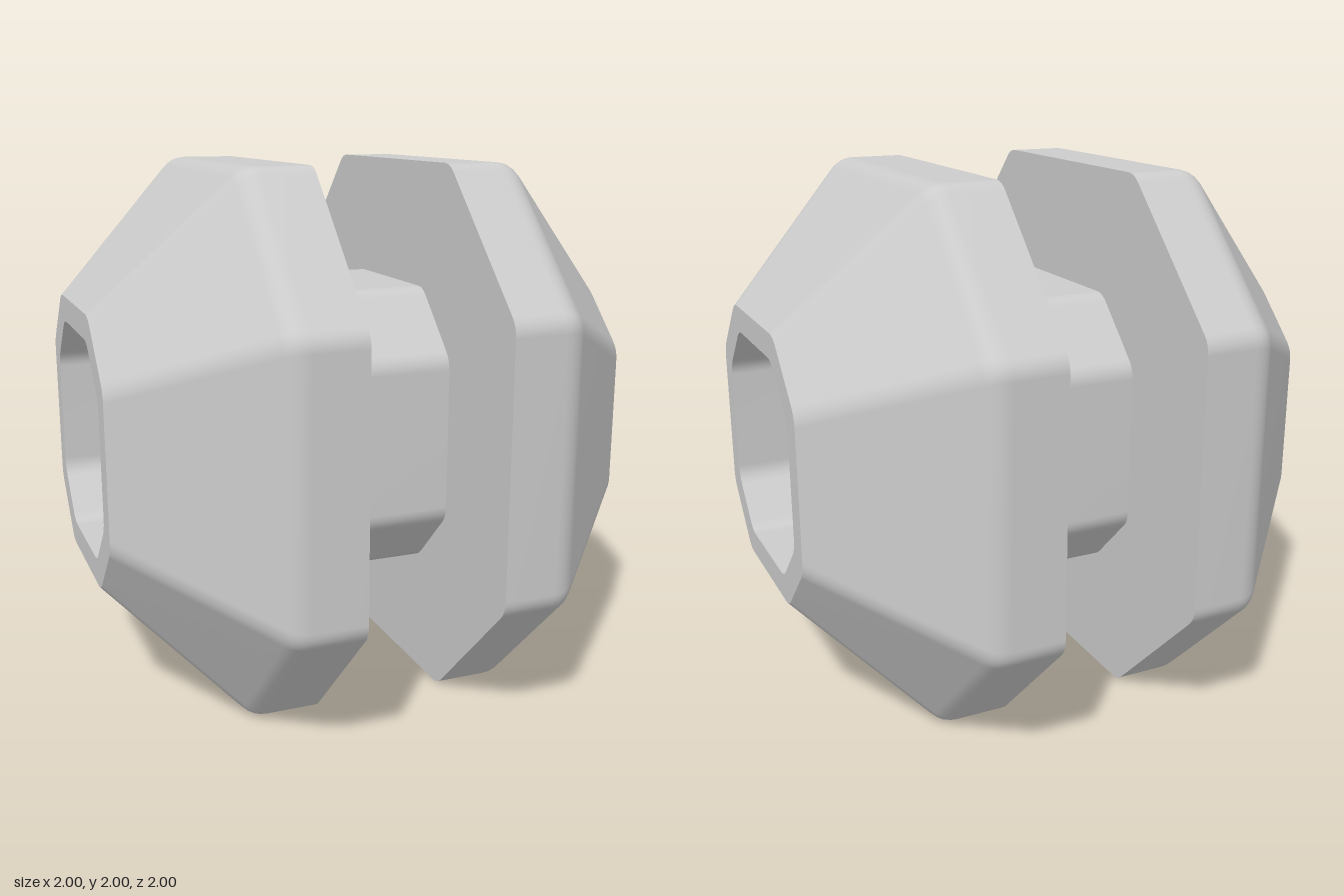
import * as THREE from 'three';

const ROUND = 0.04; // how far each corner rounding reaches along its edges
const STEPS = 4;

// Quadratic rounding of a corner b between a and c, for points of any dimension
function bend(a, b, c) {
  return Array.from({ length: STEPS + 1 }, (_, i) => {
    const t = i / STEPS;
    return b.map((v, k) => (1 - t) * (1 - t) * a[k] + 2 * t * (1 - t) * v + t * t * c[k]);
  });
}

// Rounded octagon across the x axis: half width h, flats reaching to +-c
function ring([x, h, c]) {
  const corners = [];
  for (let q = 0; q < 4; q++) {
    const cos = [1, 0, -1, 0][q], sin = [0, 1, 0, -1][q];
    for (const [y, z] of [[h, c], [c, h]]) corners.push([y * cos - z * sin, y * sin + z * cos]);
  }
  const toward = (p, q) => {
    const d = Math.hypot(q[0] - p[0], q[1] - p[1]);
    const f = d > 0 ? Math.min(ROUND / d, 0.45) : 0;
    return [p[0] + (q[0] - p[0]) * f, p[1] + (q[1] - p[1]) * f];
  };
  return corners.flatMap((p, i) =>
    bend(toward(p, corners[(i + 7) % 8]), p, toward(p, corners[(i + 1) % 8]))
      .map(([y, z]) => [x, y, z]));
}

// Smooth skin through a list of [x, h, c] sections
function loft(name, sections) {
  const rings = sections.map(ring);
  const n = rings[0].length;
  const index = [];
  for (let s = 0; s < rings.length - 1; s++) {
    for (let i = 0; i < n; i++) {
      const a = s * n + i, b = s * n + (i + 1) % n;
      index.push(a, b, a + n, b, b + n, a + n);
    }
  }
  const geometry = new THREE.BufferGeometry();
  geometry.setAttribute('position', new THREE.Float32BufferAttribute(rings.flat(2), 3));
  geometry.setIndex(index);
  geometry.computeVertexNormals();
  const mesh = new THREE.Mesh(geometry, new THREE.MeshStandardMaterial({ color: 0xcccccc }));
  mesh.name = name;
  return mesh;
}

// Flanged end: back face, tapered outer skin, rim, and a blind socket
function createFlange(name) {
  const back = [0.255, 1, 0.5];
  const tip = [1, 0.5, 0.28];
  const socketMouth = [1, 0.405, 0.23];
  const socketFloor = [0.5, 0.405, 0.23];
  const shoulder = bend([0.45, 1, 0.5], [0.5, 1, 0.5], [0.535, 0.965, 0.485]);
  const flange = new THREE.Group();
  flange.name = name;
  flange.add(
    loft('flangeBackFace', [[0.255, 0.5, 0.28], back]),
    loft('flangeOuterSkin', [back, ...shoulder, tip]),
    loft('socketRim', [tip, socketMouth]),
    loft('socketWall', [socketMouth, socketFloor]),
    loft('socketFloor', [socketFloor, [0.5, 0, 0]]),
  );
  return flange;
}

export function createModel() {
  const model = new THREE.Group();
  model.name = 'flangedSpool';

  // Connecting shaft
  const shaft = loft('shaft', [[-0.255, 0.537, 0.3], [0.255, 0.537, 0.3]]);

  // Two identical flanges, back to back
  const left = createFlange('leftFlange');
  const right = createFlange('rightFlange');
  right.rotation.y = Math.PI;

  const body = new THREE.Group();
  body.name = 'body';
  body.position.y = 1;
  body.add(shaft, left, right);
  model.add(body);
  return model;
}
